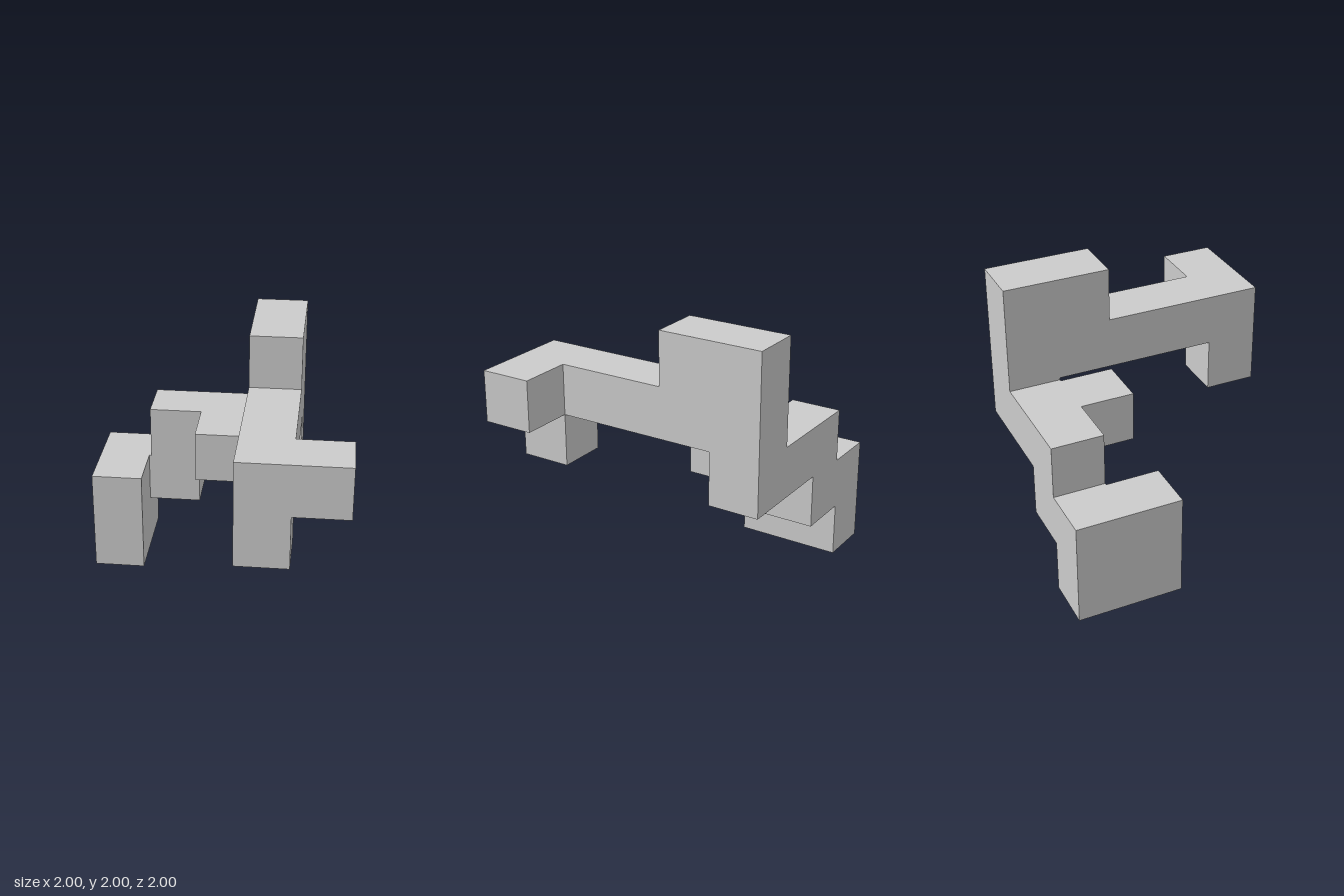
import * as THREE from 'three';

// Five-step grid: each cell is slightly smaller than the pitch
const PITCH = 0.4032, SIZE = 2 - 4 * PITCH;
const lo = (i) => -1 + PITCH * i;
const hi = (i) => lo(i) + SIZE;

export function createModel() {
  const group = new THREE.Group();
  const material = new THREE.MeshStandardMaterial({ color: 0xcccccc, flatShading: true });

  const add = (name, geometry) => {
    const mesh = new THREE.Mesh(geometry, material);
    mesh.name = name;
    group.add(mesh);
    return mesh;
  };

  // Box given by its [min, max] range on each axis
  const block = (name, x, y, z) => {
    const mid = (r) => (r[0] + r[1]) / 2;
    const len = (r) => r[1] - r[0];
    add(name, new THREE.BoxGeometry(len(x), len(y), len(z))).position.set(mid(x), mid(y) + 1, mid(z));
  };

  // Stepped spine along the back, rising from foot to tower
  const outline = [
    [lo(0), lo(0)], [hi(0), lo(0)], [hi(0), lo(1)], [hi(1), lo(1)],
    [hi(1), lo(2)], [hi(3), lo(2)], [hi(3), hi(4)], [lo(3), hi(4)],
    [lo(3), hi(2)], [lo(1), hi(2)], [lo(1), hi(1)], [lo(0), hi(1)],
  ].map(([x, y]) => new THREE.Vector2(x, y + 1));
  const spine = new THREE.ExtrudeGeometry(new THREE.Shape(outline), { depth: SIZE, bevelEnabled: false });
  add('steppedSpine', spine).position.z = lo(0);

  // Parts reaching forward from the spine
  const second = [hi(0), hi(1)];
  block('footFront', [lo(0), hi(0)], [lo(0), hi(1)], second);
  block('middleProng', [lo(2), hi(2)], [lo(2), hi(2)], second);
  block('towerFront', [lo(3), hi(3)], [lo(3), hi(4)], second);
  block('forwardArm', [lo(3), hi(3)], [lo(3), hi(3)], [hi(1), hi(4)]);

  // Branches at the end of the arm
  block('armSideBranch', [hi(3), hi(4)], [lo(3), hi(3)], [lo(4), hi(4)]);
  block('armDropBranch', [lo(3), hi(3)], [lo(2), lo(3)], [lo(4), hi(4)]);

  return group;
}
